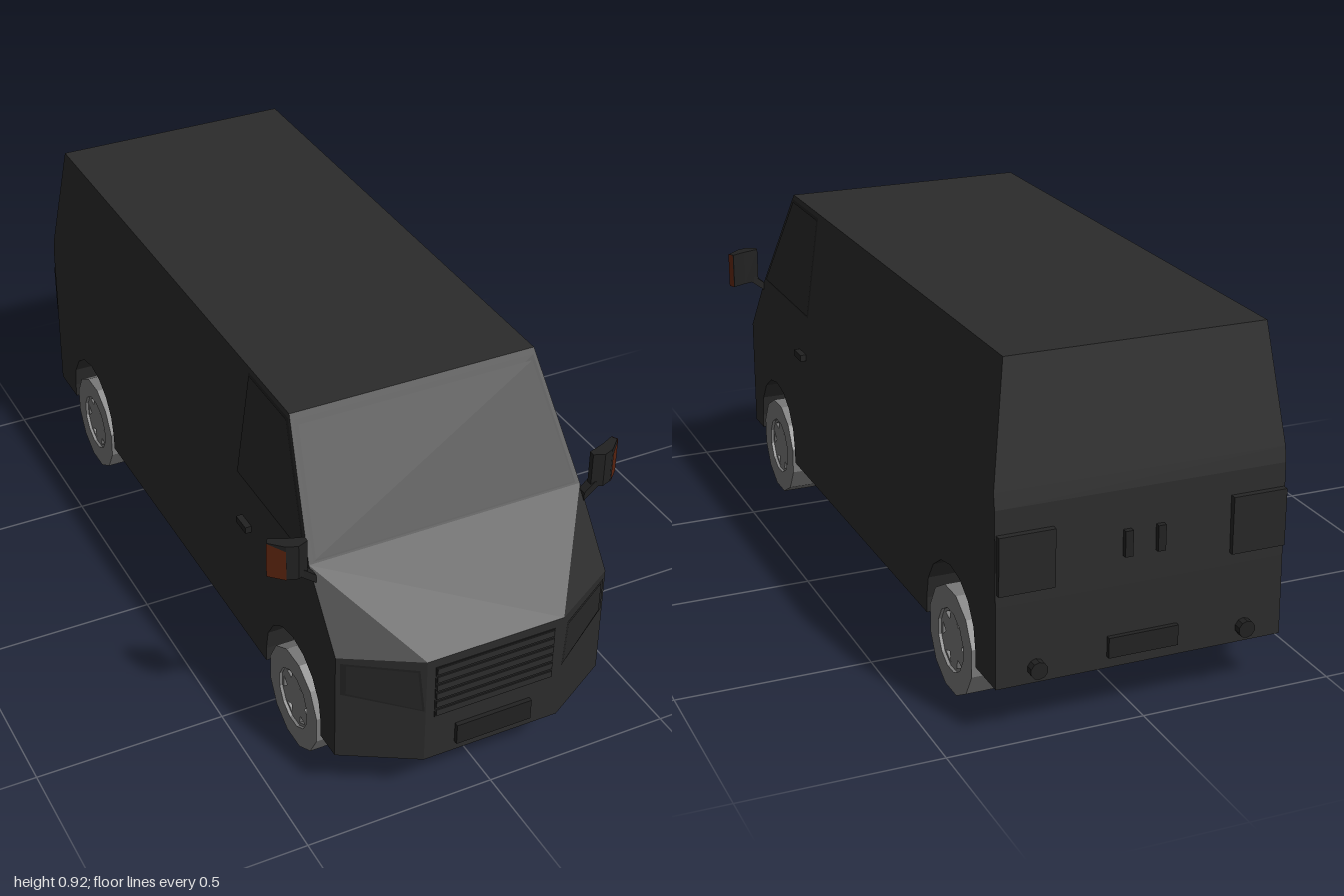
import * as THREE from 'three';
import { ConvexGeometry } from 'three/addons/geometries/ConvexGeometry.js';

const material = (name, color, side = THREE.FrontSide) => {
  const m = new THREE.MeshStandardMaterial({ color, side });
  m.name = name;
  return m;
};

export function createModel() {
  const van = new THREE.Group();
  van.name = 'van';
  const paint = material('bodyPaint', 0x2b2b2b);
  const trim = material('darkTrim', 0x212121);
  const glass = material('glass', 0x282828, THREE.DoubleSide);
  const lamp = material('lampCover', 0x262626, THREE.DoubleSide);
  const metal = material('wheelGrey', 0x787878);
  const orange = material('indicatorOrange', 0x5c2410, THREE.DoubleSide);

  const add = (name, geometry, mat, parent = van) => {
    const mesh = new THREE.Mesh(geometry, mat);
    mesh.name = name;
    parent.add(mesh);
    return mesh;
  };
  const box = (name, w, h, d, x, y, z, mat) =>
    add(name, new THREE.BoxGeometry(w, h, d), mat).position.set(x, y, z);
  const hull = (name, pts, mat, parent) =>
    add(name, new ConvexGeometry(pts.map(p => new THREE.Vector3(...p))), mat, parent);
  // Hull that is symmetric about x = 0, from half-width points
  const twinHull = (name, pts, mat) =>
    hull(name, pts.flatMap(([x, y, z]) => [[x, y, z], [-x, y, z]]), mat);
  // Flat four-cornered panel, wound to face outwards along the given direction
  const panel = (name, pts, facing, mat) => {
    const v = pts.map(p => new THREE.Vector3(...p));
    const n = v[1].clone().sub(v[0]).cross(v[2].clone().sub(v[0]));
    if (n.dot(new THREE.Vector3(...facing)) < 0) v.reverse();
    const g = new THREE.BufferGeometry().setFromPoints([0, 1, 2, 0, 2, 3].map(i => v[i]));
    g.computeVertexNormals();
    return add(name, g, mat);
  };

  // Upper cabin, belt section with bonnet, and lower nose
  twinHull('cabin', [[0.37, 0.62, 0.74], [0.33, 0.92, 0.555],
    [0.33, 0.92, -0.92], [0.37, 0.62, -0.964]], paint);
  twinHull('beltSection', [[0.37, 0.345, 0.88], [0.185, 0.345, 0.988], [0.37, 0.445, 0.88],
    [0.185, 0.445, 0.988], [0.37, 0.62, 0.74], [0.37, 0.62, -0.964],
    [0.37, 0.58, -0.97], [0.37, 0.345, -0.976]], paint);
  twinHull('nose', [[0.37, 0.14, 0.88], [0.185, 0.14, 0.988],
    [0.37, 0.345, 0.88], [0.185, 0.345, 0.988]], paint);
  twinHull('floor', [[0.24, 0.14, 0.88], [0.24, 0.345, 0.88],
    [0.24, 0.345, -0.976], [0.24, 0.14, -0.98]], paint);

  // Lower sides with faceted wheel arches
  const axles = [0.65, -0.705];
  const sideShape = new THREE.Shape();
  sideShape.moveTo(-0.88, 0.14);
  for (const z of axles) {
    sideShape.lineTo(-z - 0.155, 0.14);
    for (let i = 0; i <= 8; i++) {
      const a = Math.PI * (1 - i / 8);
      sideShape.lineTo(-z + 0.155 * Math.cos(a), 0.18 + 0.155 * Math.sin(a));
    }
    sideShape.lineTo(-z + 0.155, 0.14);
  }
  sideShape.lineTo(0.98, 0.14);
  sideShape.lineTo(0.976, 0.345);
  sideShape.lineTo(-0.88, 0.345);
  const sideGeometry = new THREE.ExtrudeGeometry(sideShape, { depth: 0.13, bevelEnabled: false });
  sideGeometry.rotateY(Math.PI / 2);
  for (const x of [0.24, -0.37]) add('lowerSide', sideGeometry, paint).position.x = x;

  // Wheels: twelve-sided open tyre with a six-holed hub
  const ring = (r, n, offset) => Array.from({ length: n }, (_, i) => {
    const a = (i / n) * Math.PI * 2 + offset;
    return new THREE.Vector2(r * Math.cos(a), r * Math.sin(a));
  });
  const tyreShape = new THREE.Shape(ring(0.137, 12, Math.PI / 12));
  tyreShape.holes.push(new THREE.Path(ring(0.08, 12, Math.PI / 12)));
  const tyreGeometry = new THREE.ExtrudeGeometry(tyreShape, { depth: 0.103, bevelEnabled: false });
  const hubShape = new THREE.Shape(ring(0.083, 12, Math.PI / 12));
  for (let i = 0; i < 6; i++) {
    const a = (i * Math.PI) / 3;
    const at = (r, d) => new THREE.Vector2(r * Math.cos(a + d), r * Math.sin(a + d));
    hubShape.holes.push(new THREE.Path([at(0.05, 0), at(0.072, 0.26), at(0.072, -0.26)]));
  }
  const hubGeometry = new THREE.ExtrudeGeometry(hubShape, { depth: 0.02, bevelEnabled: false });
  for (const s of [1, -1]) for (const z of axles) {
    const wheel = new THREE.Group();
    wheel.name = 'wheel';
    wheel.position.set(s * 0.267, 0.137, z);
    wheel.rotation.y = (s * Math.PI) / 2;
    add('tyre', tyreGeometry, metal, wheel);
    add('hub', hubGeometry, metal, wheel).position.z = 0.075;
    van.add(wheel);
  }

  // Windscreen with a dark surround
  const screenZ = (y, lift) => 0.74 - (y - 0.62) * 0.6167 + lift;
  const screen = (name, xb, yb, xt, yt, lift, mat) => panel(name,
    [[-xb, yb, screenZ(yb, lift)], [xb, yb, screenZ(yb, lift)],
      [xt, yt, screenZ(yt, lift)], [-xt, yt, screenZ(yt, lift)]], [0, 0, 1], mat);
  screen('windscreenSeal', 0.357, 0.625, 0.323, 0.907, 0.002, trim);
  screen('windscreen', 0.351, 0.63, 0.315, 0.897, 0.005, glass);

  for (const s of [1, -1]) {
    // Cab side window
    const sideX = (y, lift) => s * (0.37 - (y - 0.62) * 0.1333 + lift);
    const sideWindow = (name, y0, y1, inset, lift, mat) => panel(name,
      [[y0, 0.722 - inset], [y0, 0.335 + inset], [y1, 0.335 + inset], [y1, 0.553 - inset]]
        .map(([y, z]) => [sideX(y, lift), y, z]), [s, 0, 0], mat);
    sideWindow('sideWindowSeal', 0.628, 0.908, 0, 0.001, trim);
    sideWindow('sideWindow', 0.633, 0.902, 0.006, 0.003, glass);
    box('doorHandle', 0.017, 0.018, 0.055, s * 0.378, 0.505, 0.39, trim);

    // Headlight on the angled front corner
    const light = (name, corners, lift, mat) => panel(name, corners.map(([x, y]) =>
      [s * x, y, 0.88 + (0.37 - x) * 0.584 + lift]), [s, 0, 1], mat);
    light('headlightRim', [[0.361, 0.43], [0.2, 0.42], [0.188, 0.295], [0.361, 0.335]], 0.002, trim);
    light('headlight', [[0.35, 0.425], [0.205, 0.415], [0.194, 0.301], [0.35, 0.34]], 0.004, lamp);

    // Door mirror: stalk, inner and outer housing, indicator
    const prism = (name, plan, y0, y1, mat) => hull(name,
      plan.flatMap(([x, z]) => [[s * x, y0, z], [s * x, y1, z]]), mat);
    hull('mirrorStalk', [[0.365, 0.588], [0.365, 0.61], [0.395, 0.635], [0.413, 0.625]]
      .flatMap(([x, y]) => [[s * x, y, 0.745], [s * x, y, 0.77]]), trim);
    prism('mirrorInner', [[0.385, 0.75], [0.385, 0.765], [0.413, 0.776], [0.43, 0.735]], 0.62, 0.715, trim);
    prism('mirrorOuter', [[0.413, 0.776], [0.44, 0.766], [0.474, 0.733],
      [0.466, 0.718], [0.43, 0.735]], 0.62, 0.715, trim);
    panel('mirrorIndicator', [[s * 0.441, 0.62, 0.768], [s * 0.476, 0.62, 0.734],
      [s * 0.476, 0.715, 0.734], [s * 0.441, 0.702, 0.768]], [s, 0, 1], orange);
    panel('mirrorIndicatorEnd', [[s * 0.476, 0.62, 0.734], [s * 0.468, 0.62, 0.718],
      [s * 0.468, 0.715, 0.718], [s * 0.476, 0.715, 0.734]], [s, 0, -0.1], orange);

    // Rear lamps, door pulls and round reflectors
    box('tailLamp', 0.14, 0.145, 0.016, s * 0.297, 0.448, -0.98, lamp);
    box('rearDoorPull', 0.02, 0.065, 0.014, s * 0.042, 0.45, -0.98, trim);
    const disc = new THREE.CylinderGeometry(0.022, 0.022, 0.024, 10).toNonIndexed();
    disc.rotateX(Math.PI / 2);
    disc.computeVertexNormals();
    add('reflector', disc, trim).position.set(s * 0.27, 0.178, -0.988);
  }

  // Grille slats and number plate blanks
  box('grille', 0.324, 0.152, 0.004, 0, 0.345, 0.988, trim);
  for (let i = 0; i < 6; i++)
    box('grilleSlat', 0.318, 0.018, 0.004, 0, 0.282 + i * 0.0255, 0.991, paint);
  box('frontPlate', 0.206, 0.058, 0.014, 0, 0.196, 0.993, trim);
  box('rearPlate', 0.18, 0.052, 0.016, 0, 0.195, -0.983, trim);
  return van;
}
